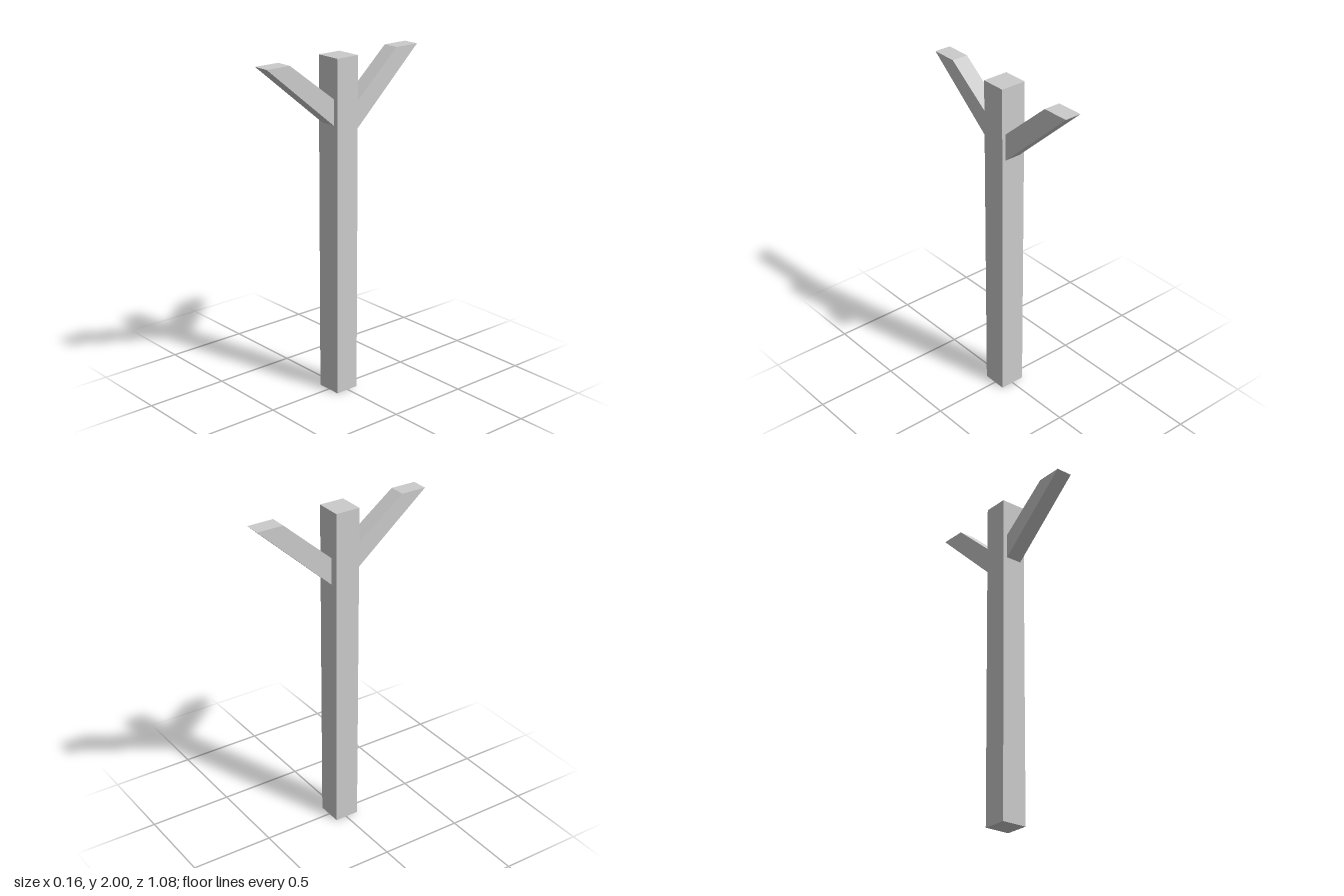
import * as THREE from 'three';

const material = new THREE.MeshStandardMaterial({ color: 0xcccccc, flatShading: true });

// Slanted arm: a (z, y) outline extruded across x, with a slight sideways skew along z
function makeArm(name, outline, offset = 0, skew = 0) {
  const width = 0.1;
  const shape = new THREE.Shape(outline.map(([z, y]) => new THREE.Vector2(z, y)));
  const geometry = new THREE.ExtrudeGeometry(shape, { depth: width, bevelEnabled: false });
  geometry.rotateY(-Math.PI / 2).translate(width / 2, 0, 0);
  const p = geometry.attributes.position;
  for (let i = 0; i < p.count; i++) p.setX(i, p.getX(i) + offset + skew * p.getZ(i));
  geometry.computeVertexNormals();
  const mesh = new THREE.Mesh(geometry, material);
  mesh.name = name;
  return mesh;
}

export function createModel() {
  const model = new THREE.Group();
  model.name = 'postWithArms';

  // Upright square post
  const post = new THREE.Mesh(new THREE.BoxGeometry(0.156, 2, 0.15), material);
  post.name = 'post';
  post.position.set(0, 1, 0.005);
  model.add(post);

  // Arms rising to the level of the post top
  model.add(makeArm('frontArm', [[0.08, 1.62], [0.54, 2], [0.385, 2], [0.08, 1.77]]));
  model.add(makeArm('backArm', [[-0.076, 1.57], [-0.54, 2], [-0.38, 2], [-0.076, 1.73]], 0.01, 0.013));

  return model;
}
